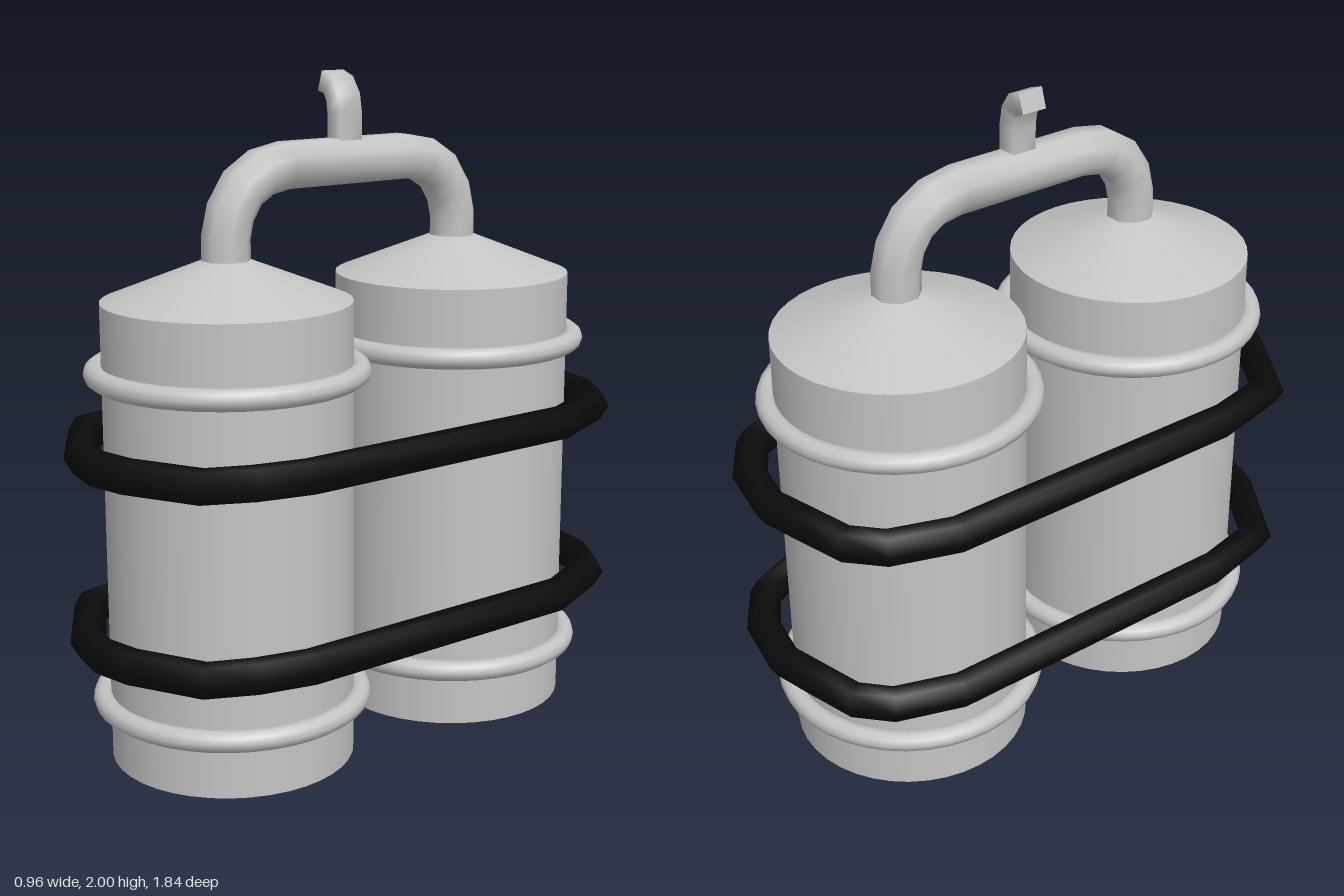
import * as THREE from 'three';

const metal = new THREE.MeshStandardMaterial({ color: 0xc4c4c4 });
metal.name = 'light grey metal';
const rubber = new THREE.MeshStandardMaterial({ color: 0x0a0a0a });
rubber.name = 'black strap';

const TANK_R = 0.363, TANK_Z = 0.425, SHOULDER_Y = 1.37, NECK_Y = 1.485;

function part(name, geometry, material, parent) {
  const mesh = new THREE.Mesh(geometry, material);
  mesh.name = name;
  parent.add(mesh);
  return mesh;
}

// Regular polygon cross-section, as [u, v] pairs
function polygon(sides, radius, turn = 0) {
  return Array.from({ length: sides }, (_, i) => {
    const a = turn + (i / sides) * Math.PI * 2;
    return [Math.cos(a) * radius, Math.sin(a) * radius];
  });
}

// Sweeps a convex cross-section along a planar path; axis is the plane's normal
function sweep(path, axis, profile, closed) {
  const n = path.length, m = profile.length, pos = [], index = [];
  path.forEach((p, i) => {
    const prev = closed ? path[(i + n - 1) % n] : path[Math.max(i - 1, 0)];
    const next = closed ? path[(i + 1) % n] : path[Math.min(i + 1, n - 1)];
    const side = next.clone().sub(prev).normalize().cross(axis);
    for (const [u, v] of profile) {
      const q = p.clone().addScaledVector(side, u).addScaledVector(axis, v);
      pos.push(q.x, q.y, q.z);
    }
  });
  for (let i = 0; i < (closed ? n : n - 1); i++) {
    for (let j = 0; j < m; j++) {
      const a = i * m + j, b = i * m + (j + 1) % m;
      const c = ((i + 1) % n) * m + j, d = ((i + 1) % n) * m + (j + 1) % m;
      index.push(a, c, b, b, c, d);
    }
  }
  // End caps with their own vertices
  if (!closed) {
    for (const end of [0, n - 1]) {
      const base = pos.length / 3;
      pos.push(...pos.slice(end * m * 3, (end + 1) * m * 3));
      for (let j = 1; j < m - 1; j++) {
        if (end === 0) index.push(base, base + j, base + j + 1);
        else index.push(base, base + j + 1, base + j);
      }
    }
  }
  const g = new THREE.BufferGeometry();
  g.setAttribute('position', new THREE.Float32BufferAttribute(pos, 3));
  g.setIndex(index);
  g.computeVertexNormals();
  return g;
}

function makeTank() {
  const tank = new THREE.Group();
  tank.name = 'tank';
  part('tankBody', new THREE.CylinderGeometry(TANK_R, TANK_R, SHOULDER_Y, 40), metal, tank)
    .position.y = SHOULDER_Y / 2;
  part('tankShoulder', new THREE.CylinderGeometry(0.07, TANK_R, NECK_Y - SHOULDER_Y, 40, 1), metal, tank)
    .position.y = (SHOULDER_Y + NECK_Y) / 2;
  for (const y of [0.183, 1.167]) {
    const ring = part('tankRing', new THREE.TorusGeometry(0.383, 0.032, 10, 40), metal, tank);
    ring.rotation.x = Math.PI / 2;
    ring.position.y = y;
  }
  return tank;
}

export function createModel() {
  const model = new THREE.Group();
  model.name = 'twinTanks';

  // Two upright tanks, one behind the other
  for (const s of [1, -1]) {
    const tank = makeTank();
    tank.position.z = s * TANK_Z;
    model.add(tank);
  }

  // Slightly uneven straps wrapped around both tanks
  const loop = [
    [-0.425, -0.53], [-0.36, -0.72], [-0.275, -0.8], [-0.12, -0.84], [0, -0.87],
    [0.18, -0.835], [0.315, -0.75], [0.42, -0.51], [0.428, 0.45], [0.39, 0.61],
    [0.33, 0.74], [0.12, 0.845], [0, 0.868], [-0.12, 0.845], [-0.375, 0.69], [-0.428, 0.45],
  ].map(([x, z]) => new THREE.Vector3(x, 0, z));
  const strap = sweep(loop, new THREE.Vector3(0, 1, 0), polygon(6, 0.052), true);
  for (const y of [0.395, 0.947]) part('strap', strap, rubber, model).position.y = y;

  // Arched pipe joining the two necks
  const half = [[0.425, 1.46], [0.425, 1.55], [0.408, 1.62], [0.365, 1.685], [0.3, 1.725], [0.22, 1.74]];
  const arch = [...half, ...half.map(([z, y]) => [-z, y]).reverse()]
    .map(([z, y]) => new THREE.Vector3(0, y, z));
  part('connectingPipe', sweep(arch, new THREE.Vector3(1, 0, 0), polygon(8, 0.072, Math.PI / 8), false), metal, model);

  // Small outlet spout bending to the right
  const bend = [[0.002, 1.74], [0.002, 1.88], [-0.006, 1.925], [-0.028, 1.958], [-0.065, 1.97]]
    .map(([x, y]) => new THREE.Vector3(x, y, 0));
  const slab = [[0.031, 0.04], [-0.031, 0.04], [-0.031, -0.04], [0.031, -0.04]];
  part('outletSpout', sweep(bend, new THREE.Vector3(0, 0, 1), slab, false), metal, model);

  return model;
}
